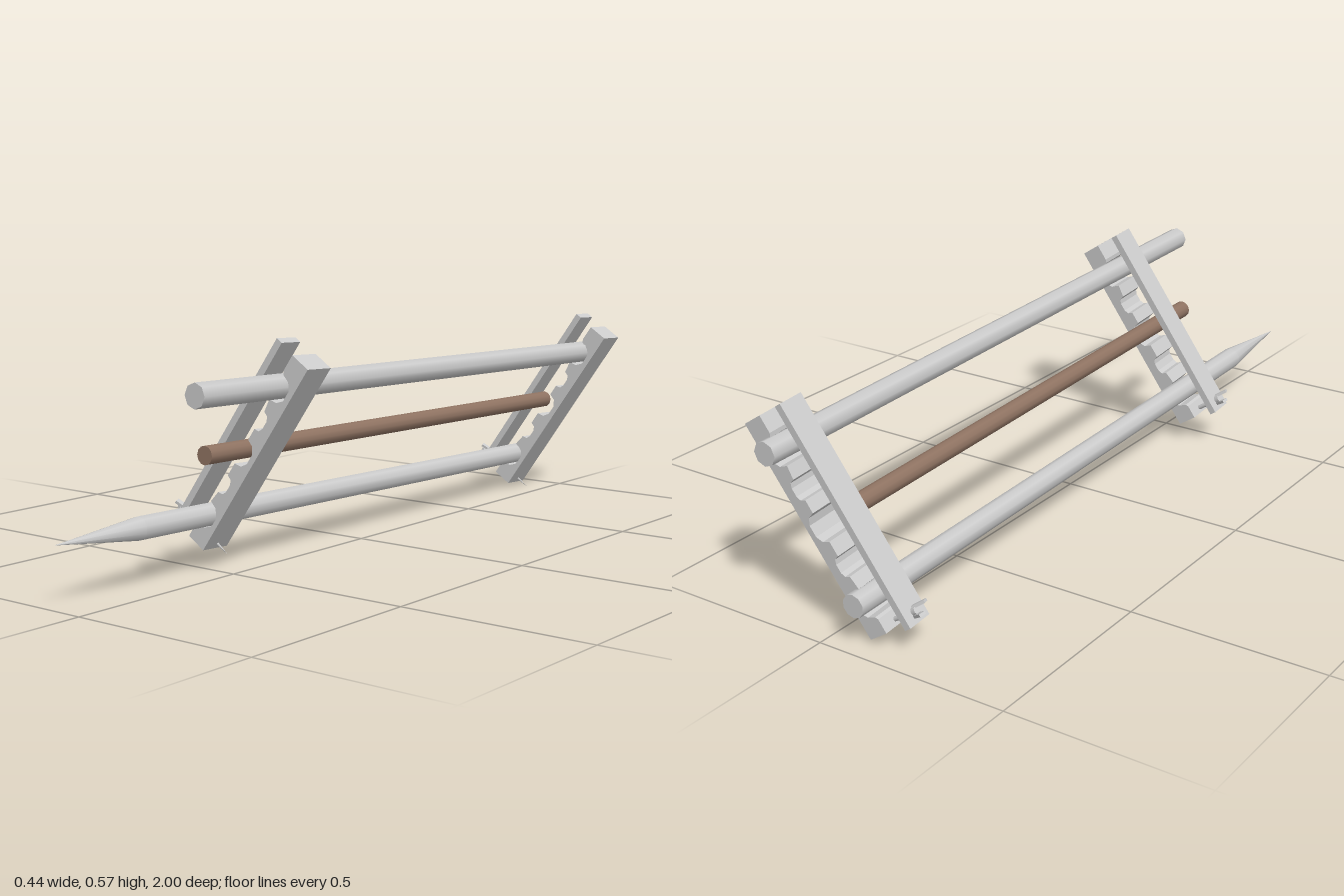
import * as THREE from 'three';

const grey = new THREE.MeshStandardMaterial({ color: 0xcccccc });
const flatGrey = new THREE.MeshStandardMaterial({ color: 0xcccccc, flatShading: true });
const brown = new THREE.MeshStandardMaterial({ color: 0x8f7362 });

function add(parent, name, geometry, material) {
  const mesh = new THREE.Mesh(geometry, material);
  mesh.name = name;
  parent.add(mesh);
  return mesh;
}

// Straight round pole between two points, optionally sharpened at the end.
function pole(parent, name, from, to, radius, sides, material, pointLength = 0) {
  const a = new THREE.Vector3(...from), b = new THREE.Vector3(...to);
  const dir = b.clone().sub(a);
  const length = dir.length();
  const group = new THREE.Group();
  group.name = name;
  group.position.copy(a);
  group.quaternion.setFromUnitVectors(new THREE.Vector3(0, 1, 0), dir.normalize());
  parent.add(group);
  const shaft = length - pointLength;
  add(group, name + 'Shaft', new THREE.CylinderGeometry(radius, radius, shaft, sides), material).position.y = shaft / 2;
  if (pointLength) {
    add(group, name + 'Point', new THREE.ConeGeometry(radius, pointLength, sides), material).position.y = shaft + pointLength / 2;
  }
}

// Side profile of the notched beam: x along the beam, y towards the clamp bar.
function beamProfile() {
  const shape = new THREE.Shape();
  shape.moveTo(0, 0);
  shape.lineTo(0.552, 0);
  shape.lineTo(0.552, 0.055);
  // centre, half width, floor height and rim height of each notch
  const notches = [
    [0.463, 0.036, 0.015, 0.05], [0.368, 0.026, 0.026, 0.045], [0.273, 0.036, 0.015, 0.045],
    [0.174, 0.026, 0.026, 0.045], [0.079, 0.036, 0.015, 0.05],
  ];
  shape.lineTo(0.508, 0.055);
  for (const [c, h, floor, rim] of notches) {
    const mid = (floor + rim) / 2;
    shape.lineTo(c + h, rim);
    shape.lineTo(c + h * 0.85, mid - 0.004);
    shape.lineTo(c + h * 0.4, floor);
    shape.lineTo(c - h * 0.4, floor);
    shape.lineTo(c - h * 0.85, mid - 0.004);
    shape.lineTo(c - h, rim);
  }
  shape.lineTo(0.036, 0.055);
  shape.lineTo(0, 0.055);
  return shape;
}

// Pin through bar and beam, with two splayed blades as its head.
function pin(parent, z) {
  const group = new THREE.Group();
  group.name = 'pin';
  group.position.set(0.014, 0, z);
  parent.add(group);
  add(group, 'pinShaft', new THREE.CylinderGeometry(0.006, 0.006, 0.1, 8), grey).position.y = 0.08;
  add(group, 'pinTip', new THREE.ConeGeometry(0.006, 0.07, 8).rotateX(Math.PI), grey).position.y = -0.005;
  add(group, 'pinCollar', new THREE.CylinderGeometry(0.011, 0.011, 0.012, 8), grey).position.y = 0.126;
  for (const side of [-1, 1]) {
    const wing = add(group, 'pinWing', new THREE.BoxGeometry(0.007, 0.034, 0.016), flatGrey);
    wing.position.set(side * 0.01, 0.138, side * 0.008);
    wing.rotation.x = side * 0.35;
  }
}

// Notched beam with its loose bar above, in the tilted frame of the rack.
function rack(parent, name, origin) {
  const u = new THREE.Vector3(0.552, 0.833, -0.06).normalize();
  const v = new THREE.Vector3(-0.833, 0.552, 0).normalize();
  const w = u.clone().cross(v);
  const group = new THREE.Group();
  group.name = name;
  group.quaternion.setFromRotationMatrix(new THREE.Matrix4().makeBasis(u, v, w));
  group.position.set(...origin);
  parent.add(group);
  const depth = 0.088;
  const beam = new THREE.ExtrudeGeometry(beamProfile(), { depth, bevelEnabled: false });
  beam.translate(0, 0, -depth / 2);
  add(group, 'notchedBeam', beam, flatGrey);
  add(group, 'clampBar', new THREE.BoxGeometry(0.564, 0.018, 0.07), flatGrey).position.set(0.27, 0.111, 0);
  pin(group, 0);
}

export function createModel() {
  const model = new THREE.Group();
  model.name = 'poleRack';
  rack(model, 'frontRack', [-0.087, 0.05, 0.47]);
  rack(model, 'rearRack', [-0.094, 0.014, -0.895]);
  // Two grey poles, the lower one sharpened, and a thin wooden rod between
  pole(model, 'upperPole', [0.129, 0.428, -1], [0.132, 0.474, 0.765], 0.03, 8, grey);
  pole(model, 'lowerPole', [-0.08, 0.107, -0.975], [-0.074, 0.152, 1], 0.029, 10, grey, 0.26);
  pole(model, 'woodenRod', [0.006, 0.28, -0.89], [0.028, 0.312, 0.625], 0.023, 12, brown);
  return model;
}
